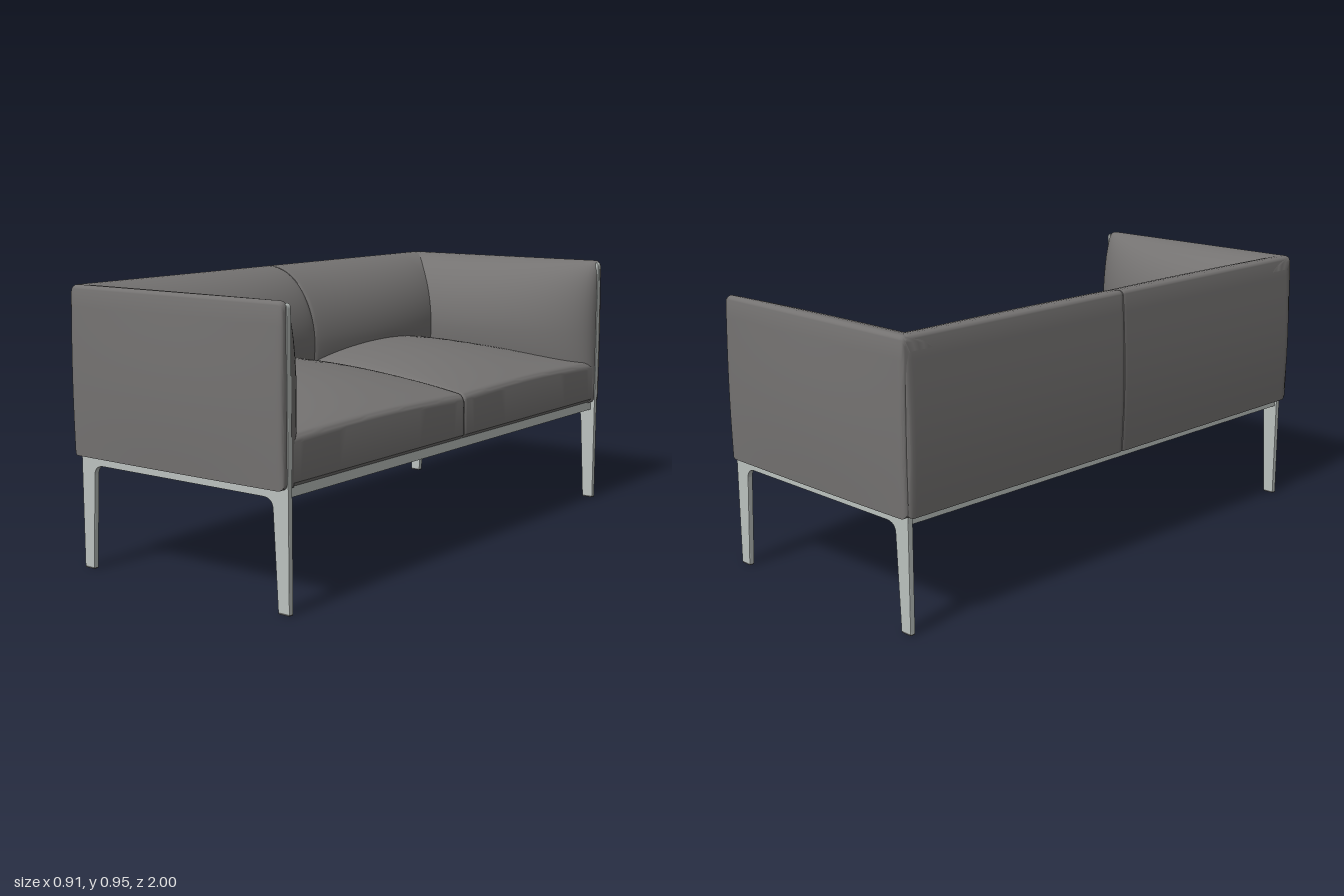
import * as THREE from 'three';
import { toCreasedNormals } from 'three/addons/utils/BufferGeometryUtils.js';

const mat = (name, color) => {
  const m = new THREE.MeshStandardMaterial({ color });
  m.name = name;
  return m;
};

// Closed skin over a row of equal-length rings of [x, y, z], capped at both ends
function loft(rings, flip) {
  const n = rings[0].length, pos = rings.flat(2), idx = [];
  const tri = (a, b, c) => (flip ? idx.push(a, c, b) : idx.push(a, b, c));
  for (let i = 0; i < rings.length - 1; i++) {
    for (let j = 0; j < n; j++) {
      const k = (j + 1) % n, a = i * n + j, b = i * n + k;
      tri(a, a + n, b);
      tri(b, a + n, b + n);
    }
  }
  [0, rings.length - 1].forEach((r, end) => {
    const c = pos.length / 3;
    for (let d = 0; d < 3; d++) pos.push(rings[r].reduce((s, p) => s + p[d], 0) / n);
    for (let j = 0; j < n; j++) {
      const a = r * n + j, b = r * n + (j + 1) % n;
      if (end) tri(c, b, a); else tri(c, a, b);
    }
  });
  const g = new THREE.BufferGeometry();
  g.setAttribute('position', new THREE.Float32BufferAttribute(pos, 3));
  g.setIndex(idx);
  return toCreasedNormals(g, 0.7);
}

// Stations packed towards both ends, and the rounding inset near an end
const stations = (from, to, n = 36) =>
  Array.from({ length: n + 1 }, (_, i) => from + (to - from) * (1 - Math.cos(Math.PI * i / n)) / 2);
const inset = (dist, r) => (dist < r ? r - Math.sqrt(Math.max(0, r * r - (r - dist) ** 2)) : 0);

// Upholstered panel section [outward offset, y]: near-flat outside, rounded top edge
// running straight into a swelling inside
function padSection(depth, thick, bulge, e) {
  const top = 0.953 - e, bottom = 0.387 + e, r = 0.018, out = e * 0.5, pts = [];
  for (let i = 0; i <= 10; i++) {
    const t = i / 10;
    pts.push([bulge * Math.sin(Math.PI * (0.15 + 0.85 * t)) - out, bottom + (top - r - bottom) * t]);
  }
  for (let i = 1; i < 6; i++) {
    const a = Math.PI / 2 * i / 6;
    pts.push([-r + (r - out) * Math.cos(a), top - r + r * Math.sin(a)]);
  }
  const swell = depth + thick - r;
  for (let i = 0; i <= 16; i++) {
    const a = Math.PI / 2 * i / 16;
    pts.push([-r - swell * Math.sin(a), 0.67 + (top - 0.67) * Math.cos(a)]);
  }
  for (let i = 1; i <= 5; i++) {
    const t = i / 5;
    pts.push([-thick - depth * (1 - 0.4 * t * t), 0.67 + (bottom - 0.67) * t]);
  }
  return pts;
}

// Arm: swells from a thin front edge to full depth near the back corner
function armGeometry(side) {
  const x0 = -0.447, x1 = 0.454;
  return loft(stations(x0, x1).map(x => {
    const t = Math.min(1, (x1 - x) / 0.655);
    const depth = 0.2 * Math.sqrt(1 - (1 - t) ** 2);
    const e = inset(Math.min(x - x0, x1 - x), 0.02);
    const bulge = 0.004 + 0.01 * Math.cos(x * 3);
    return padSection(depth, 0.04, bulge, e).map(([d, y]) => [x, y, side * (0.985 + d)]);
  }), side < 0);
}

// Back cushion: half the length, pinched at the middle seam and towards the corner
function backGeometry(side) {
  const len = 0.978;
  return loft(stations(0, len).map(z => {
    const puff = Math.max(0, Math.sin(Math.PI * Math.min(1, z / 0.82))) ** 0.7;
    const e = Math.max(inset(z, 0.006), inset(len - z, 0.02));
    return padSection(0.203 + 0.038 * puff, 0.03, 0.013, e).map(([d, y]) => [-0.445 - d, y, side * z]);
  }), side < 0);
}

// Seat cushion: level front edge, top rising to a crown towards the back
function seatGeometry(side) {
  const len = 0.947;
  return loft(stations(0, len).map(z => {
    const v = z / len, e = inset(z, 0.008), puff = Math.max(0, Math.sin(Math.PI * v)) ** 0.7;
    const crown = 0.6 - 0.045 * v + 0.077 * puff - e;
    const front = 0.452 - e, edge = 0.55 + 0.012 * puff - e, r = 0.03;
    const pts = [[front - 0.012, 0.392], [front, 0.405], [front, edge - r]];
    for (let i = 1; i <= 6; i++) {
      const a = Math.PI / 2 * 0.85 * i / 6;
      pts.push([front - r + r * Math.cos(a), edge - r + r * Math.sin(a)]);
    }
    const [sx, sy] = pts[pts.length - 1];
    for (let i = 1; i <= 14; i++) {
      const t = i / 14;
      pts.push([sx + (-0.4 - sx) * t, sy + (crown - sy) * (1 - (1 - Math.min(1, t * 1.35)) ** 2)]);
    }
    pts.push([-0.4, 0.392]);
    return pts.map(([x, y]) => [x, y, side * z]);
  }), side > 0);
}

// Side frame: two tapered legs, crossbar with filleted corners, front upright
function frameGeometry() {
  const s = new THREE.Shape();
  s.moveTo(-0.433, 0.004);
  s.lineTo(-0.39, 0.004);
  s.lineTo(-0.373, 0.325);
  s.quadraticCurveTo(-0.371, 0.355, -0.335, 0.357);
  s.lineTo(0.36, 0.357);
  s.quadraticCurveTo(0.394, 0.355, 0.396, 0.325);
  s.lineTo(0.413, 0.004);
  s.lineTo(0.457, 0.004);
  s.lineTo(0.457, 0.93);
  s.quadraticCurveTo(0.457, 0.945, 0.444, 0.945);
  s.lineTo(0.435, 0.39);
  s.lineTo(-0.433, 0.39);
  const g = new THREE.ExtrudeGeometry(s, {
    depth: 0.014, bevelEnabled: true, bevelThickness: 0.003, bevelSize: 0.002,
    bevelOffset: -0.002, bevelSegments: 2, curveSegments: 8,
  });
  return g.translate(0, 0, -0.007);
}

export function createModel() {
  const fabric = mat('grey fabric', 0x747271);
  const metal = mat('light metal', 0xbcc2bf);
  const lining = mat('dark lining', 0x565656);
  const group = new THREE.Group();
  const add = (name, geo, material, x = 0, y = 0, z = 0) => {
    const m = new THREE.Mesh(geo, material);
    m.name = name;
    m.position.set(x, y, z);
    group.add(m);
  };

  // Upholstery, frame and feet on both halves
  for (const side of [1, -1]) {
    const label = side > 0 ? 'left' : 'right';
    add(label + 'Arm', armGeometry(side), fabric);
    add(label + 'BackCushion', backGeometry(side), fabric);
    add(label + 'SeatCushion', seatGeometry(side), fabric);
    add(label + 'SideFrame', frameGeometry(), metal, 0, 0, side * 0.957);
    for (const x of [-0.4115, 0.435]) {
      add('footGlide', new THREE.BoxGeometry(0.042, 0.005, 0.018), lining, x, 0.0025, side * 0.957);
    }
  }

  // Long rails under the front and back edges
  for (const x of [-0.41, 0.425]) {
    add('longRail', new THREE.BoxGeometry(0.03, 0.034, 1.9), metal, x, 0.376, 0);
  }

  // Dark lining below the seat
  add('underside', new THREE.BoxGeometry(0.83, 0.008, 1.9), lining, 0.007, 0.387, 0);
  return group;
}
